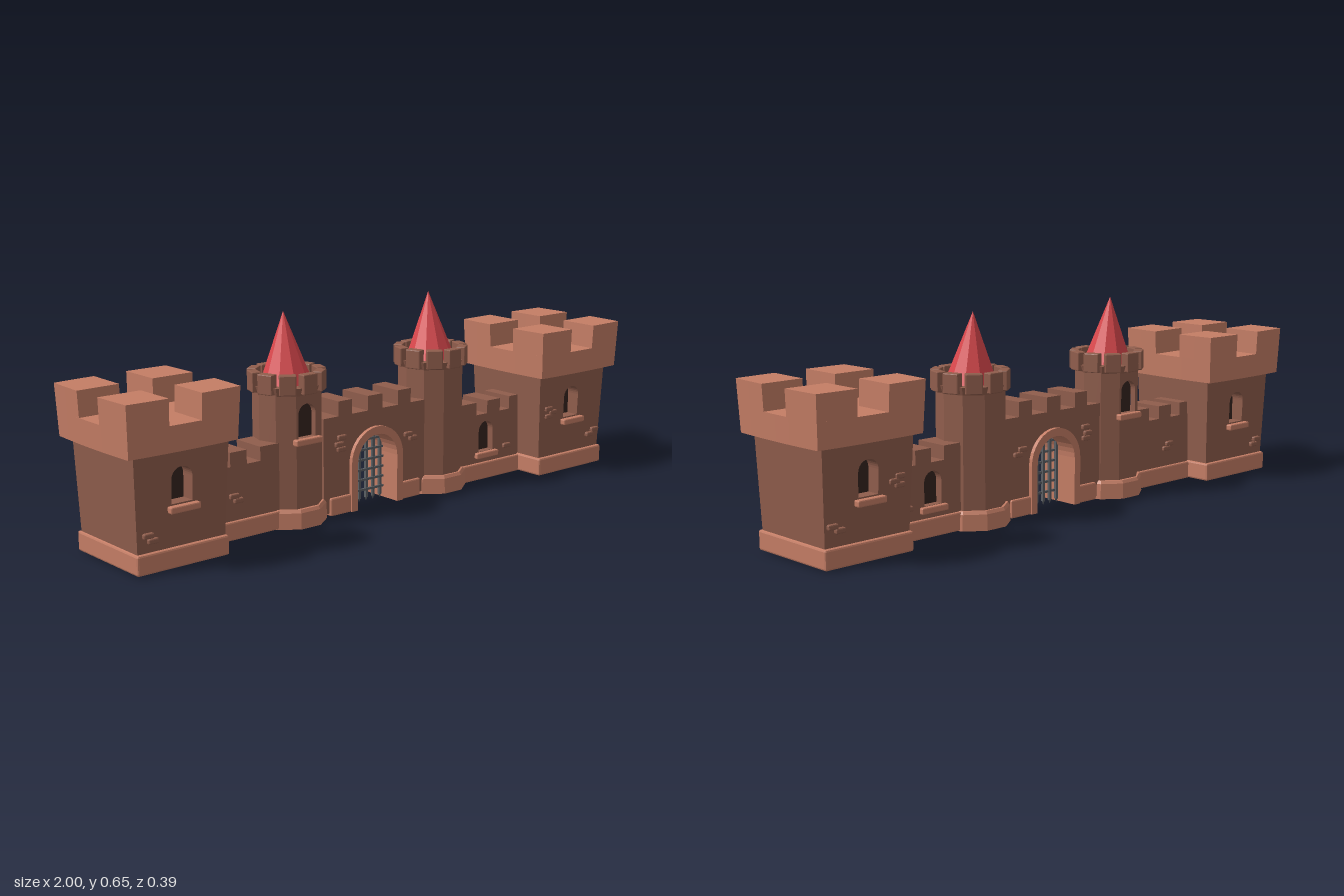
import * as THREE from 'three';
import { RoundedBoxGeometry } from 'three/addons/geometries/RoundedBoxGeometry.js';

const mat = (color) => new THREE.MeshStandardMaterial({ color, flatShading: true });
const LIGHT = mat(0xc47d65), STONE = mat(0x8f5d4c), RED = mat(0xd9474c);
const DARK = mat(0x35241f), IRON = mat(0x5c6064);
const WALL_Z = -0.008, ROUND_Z = -0.014;

function add(parent, name, geo, material, x = 0, y = 0, z = 0) {
  const m = new THREE.Mesh(geo, material);
  m.name = name;
  m.position.set(x, y, z);
  parent.add(m);
  return m;
}

const box = (w, h, d) => new THREE.BoxGeometry(w, h, d);
const bevelBox = (w, h, d, r = 0.005) => new RoundedBoxGeometry(w, h, d, 1, r);

// Extrude a shape along z, centred on z = 0
function slab(shape, depth) {
  return new THREE.ExtrudeGeometry(shape, { depth, bevelEnabled: false, curveSegments: 8 })
    .translate(0, 0, -depth / 2);
}

// Apply a rule to every vertex
function warp(geo, rule) {
  const p = geo.attributes.position, v = new THREE.Vector3();
  for (let i = 0; i < p.count; i++) {
    rule(v.fromBufferAttribute(p, i));
    p.setXYZ(i, v.x, v.y, v.z);
  }
  geo.computeVertexNormals();
  return geo;
}

// Round-headed opening: centre x, sill y, width, height
function archPath(x, y, w, h, Type = THREE.Path) {
  const r = w / 2, p = new Type();
  p.moveTo(x - r, y);
  p.lineTo(x + r, y);
  p.lineTo(x + r, y + h - r);
  p.absarc(x, y + h - r, r, 0, Math.PI, false);
  p.lineTo(x - r, y);
  return p;
}

const polygon = (pts) => new THREE.Shape(pts.map(([x, y]) => new THREE.Vector2(x, y)));

// Sills on the front and back faces
function sills(parent, x, y, zMid, reach) {
  for (const s of [1, -1]) {
    add(parent, 'windowSill', bevelBox(0.1, 0.02, 0.022, 0.004), LIGHT, x, y, zMid + s * reach);
  }
}

// Outline of a battlemented wall: the merlons are [start, end] pairs
function wallTop(x0, x1, low, high, merlons) {
  const pts = [[x1, low]];
  for (const [a, b] of [...merlons].reverse()) pts.push([b, low], [b, high], [a, high], [a, low]);
  pts.push([x0, low]);
  return pts.filter((p, i) => i === 0 || p[0] !== pts[i - 1][0] || p[1] !== pts[i - 1][1]);
}

function squareTower(side) {
  const g = new THREE.Group();
  g.name = 'squareTower';
  g.position.x = 0.8 * side;
  add(g, 'towerBase', bevelBox(0.31, 0.06, 0.32, 0.006), LIGHT, 0, 0.032);

  // Flared body with a window cut through front and back
  const s = polygon([[-0.15, 0.05], [0.15, 0.05], [0.15, 0.36], [-0.15, 0.36]]);
  s.holes.push(archPath(0, 0.188, 0.068, 0.105));
  add(g, 'towerBody', warp(slab(s, 0.3), (v) => {
    const k = 0.985 + (v.y - 0.05) * 0.25;
    v.x *= k;
    v.z *= k;
  }), STONE);
  add(g, 'windowDark', box(0.1, 0.13, 0.22), DARK, 0, 0.24);
  sills(g, 0, 0.175, 0, 0.164);

  // Flared crown with four corner merlons
  const crown = new THREE.Group();
  crown.name = 'towerCrown';
  crown.position.x = 0.006 * side;
  g.add(crown);
  const flare = (v) => {
    const k = 0.965 + (v.y - 0.345) * 0.23, x = v.x / 0.194, z = v.z / 0.194;
    v.x *= k * (1 - 0.03 * z * z);
    v.z *= k * (1 - 0.03 * x * x);
  };
  add(crown, 'crownSlab', warp(new THREE.BoxGeometry(0.388, 0.077, 0.388, 6, 1, 6).translate(0, 0.3835, 0), flare), LIGHT);
  for (const x of [-1, 1]) for (const z of [-1, 1]) {
    const m = new THREE.BoxGeometry(0.138, 0.08, 0.138, 2, 1, 2).translate(x * 0.125, 0.46, z * 0.125);
    add(crown, 'crownMerlon', warp(m, flare), LIGHT);
  }
  return g;
}

function roundTower(side) {
  const g = new THREE.Group(), R = 0.106, H = 0.38, Y = 0.24;
  g.name = 'roundTower';
  g.position.set(0.298 * side, 0, ROUND_Z);
  const drum = (r0, r1, h) => new THREE.CylinderGeometry(r1, r0, h, 10).rotateY(Math.PI / 10);
  add(g, 'roundBase', drum(0.121, 0.119, 0.05), LIGHT, 0, 0.025);
  add(g, 'roundBaseBevel', drum(0.119, 0.113, 0.01), LIGHT, 0, 0.055);

  if (side < 0) {
    // Windowed tower: curved sides, flat front and back panels with openings
    const half = Math.PI / 8, c = R * Math.sin(half), z = R * Math.cos(half);
    for (const s of [1, -1]) {
      const start = s > 0 ? half : Math.PI + half;
      add(g, 'roundSide', new THREE.CylinderGeometry(R, R, H, 4, 1, true, start, Math.PI - 2 * half), STONE, 0, Y);
      const panel = polygon([[-c, 0.05], [c, 0.05], [c, 0.43], [-c, 0.43]]);
      panel.holes.push(archPath(0, 0.278, 0.066, 0.105));
      add(g, 'windowPanel', slab(panel, 0.02), STONE, 0, 0, s * (z - 0.01));
    }
    add(g, 'windowDark', box(0.08, 0.13, 0.14), DARK, 0, 0.33);
    sills(g, 0, 0.268, 0, z + 0.004);
  } else {
    add(g, 'roundBody', drum(R, R, H), STONE, 0, Y);
  }

  // Battlement ring
  add(g, 'roundFloor', drum(0.106, 0.115, 0.025), STONE, 0, 0.4225);
  for (let i = 0; i < 10; i++) {
    const a = i * Math.PI / 5;
    const m = add(g, 'roundMerlon', bevelBox(0.052, 0.062, 0.03, 0.003), STONE,
      Math.sin(a) * 0.104, 0.445, Math.cos(a) * 0.104);
    m.rotation.y = a;
  }

  // Pointed roof, its tip leaning slightly back
  const roof = new THREE.ConeGeometry(0.086, 0.23, 10).rotateY(Math.PI / 10).translate(0, 0.535, 0);
  add(g, 'pointedRoof', warp(roof, (v) => { v.z -= (v.y - 0.42) * 0.06; }), RED);
  return g;
}

// Low side wall; the +x one has a window
function sideWall(side) {
  const g = new THREE.Group();
  g.name = 'sideWall';
  g.position.z = WALL_Z;
  const merlons = [[0.38, 0.45], [0.5, 0.56], [0.605, 0.66]];
  const pts = [[0.38, 0.02], [0.66, 0.02], ...wallTop(0.38, 0.66, 0.225, 0.268, merlons)];
  const s = polygon(pts.map(([x, y]) => [x * side, y]));
  if (side > 0) {
    s.holes.push(archPath(0.495, 0.096, 0.066, 0.103));
    add(g, 'windowDark', box(0.09, 0.12, 0.07), DARK, 0.495, 0.147);
    sills(g, 0.495, 0.085, 0, 0.062);
  }
  add(g, 'wallBody', slab(s, 0.118), STONE);
  add(g, 'wallBase', bevelBox(0.27, 0.058, 0.136), LIGHT, side * 0.52, 0.03);
  return g;
}

function gatehouse() {
  const g = new THREE.Group();
  g.name = 'gatehouse';
  g.position.z = WALL_Z;

  // Wall with an arched gateway
  const merlons = [[-0.15, -0.095], [-0.03, 0.03], [0.095, 0.15]];
  const s = polygon([[0.09, 0.01], [0.21, 0.01], ...wallTop(-0.21, 0.21, 0.315, 0.362, merlons), [-0.21, 0.01], [-0.09, 0.01], [-0.09, 0.155]]);
  s.absarc(0, 0.155, 0.09, Math.PI, 0, true);
  add(g, 'gateWall', slab(s, 0.124), STONE);

  // Arch trim
  const trim = archPath(0, 0.002, 0.214, 0.26, THREE.Shape);
  const ring = new THREE.Shape();
  ring.moveTo(0.107, 0.002);
  ring.lineTo(0.107, 0.155);
  ring.absarc(0, 0.155, 0.107, 0, Math.PI, false);
  ring.lineTo(-0.107, 0.002);
  ring.lineTo(-0.082, 0.002);
  ring.lineTo(-0.082, 0.155);
  ring.absarc(0, 0.155, 0.082, Math.PI, 0, true);
  ring.lineTo(0.082, 0.002);
  add(g, 'gateArch', slab(ring, 0.15), LIGHT);
  for (const x of [-0.145, 0.145]) add(g, 'gateBase', bevelBox(0.085, 0.058, 0.14), LIGHT, x, 0.03);

  // Iron grille fitted to the arch
  for (let i = -2.5; i <= 2.5; i++) {
    const x = i * 0.029, top = 0.158 + Math.sqrt(0.086 ** 2 - x * x);
    add(g, 'grilleUpright', box(0.009, top - 0.012, 0.009), IRON, x, (top + 0.012) / 2);
    add(g, 'grilleSpike', new THREE.ConeGeometry(0.006, 0.012, 4).rotateX(Math.PI), IRON, x, 0.006);
  }
  for (let i = 0; i < 6; i++) {
    const y = 0.04 + i * 0.033, half = y < 0.155 ? 0.085 : Math.sqrt(0.086 ** 2 - (y - 0.155) ** 2);
    add(g, 'grilleCrossbar', box(half * 2, 0.007, 0.007), IRON, 0, y, 0.004);
  }
  return g;
}

export function createModel() {
  const root = new THREE.Group();
  root.name = 'castleGate';
  root.add(gatehouse());
  for (const side of [-1, 1]) root.add(squareTower(side), roundTower(side), sideWall(side));

  // Raised bricks on both faces: x, y, wall centre z, distance to the face
  const T = [0, 0.153], W = [WALL_Z, 0.06], G = [WALL_Z, 0.063];
  const bricks = [
    [-0.915, 0.113, T], [-0.9, 0.096, T], [0.688, 0.229, T], [0.71, 0.216, T], [0.69, 0.203, T],
    [0.925, 0.122, T], [0.9, 0.108, T], [-0.55, 0.135, W], [-0.535, 0.12, W], [0.592, 0.1, W],
    [-0.14, 0.247, G], [-0.15, 0.226, G], [-0.142, 0.21, G], [0.137, 0.213, G], [0.157, 0.198, G],
  ];
  for (const [x, y, [zMid, reach]] of bricks) for (const s of [1, -1]) {
    add(root, 'raisedBrick', bevelBox(0.034, 0.016, 0.018, 0.004), STONE, x, y, zMid + s * reach);
  }
  return root;
}
